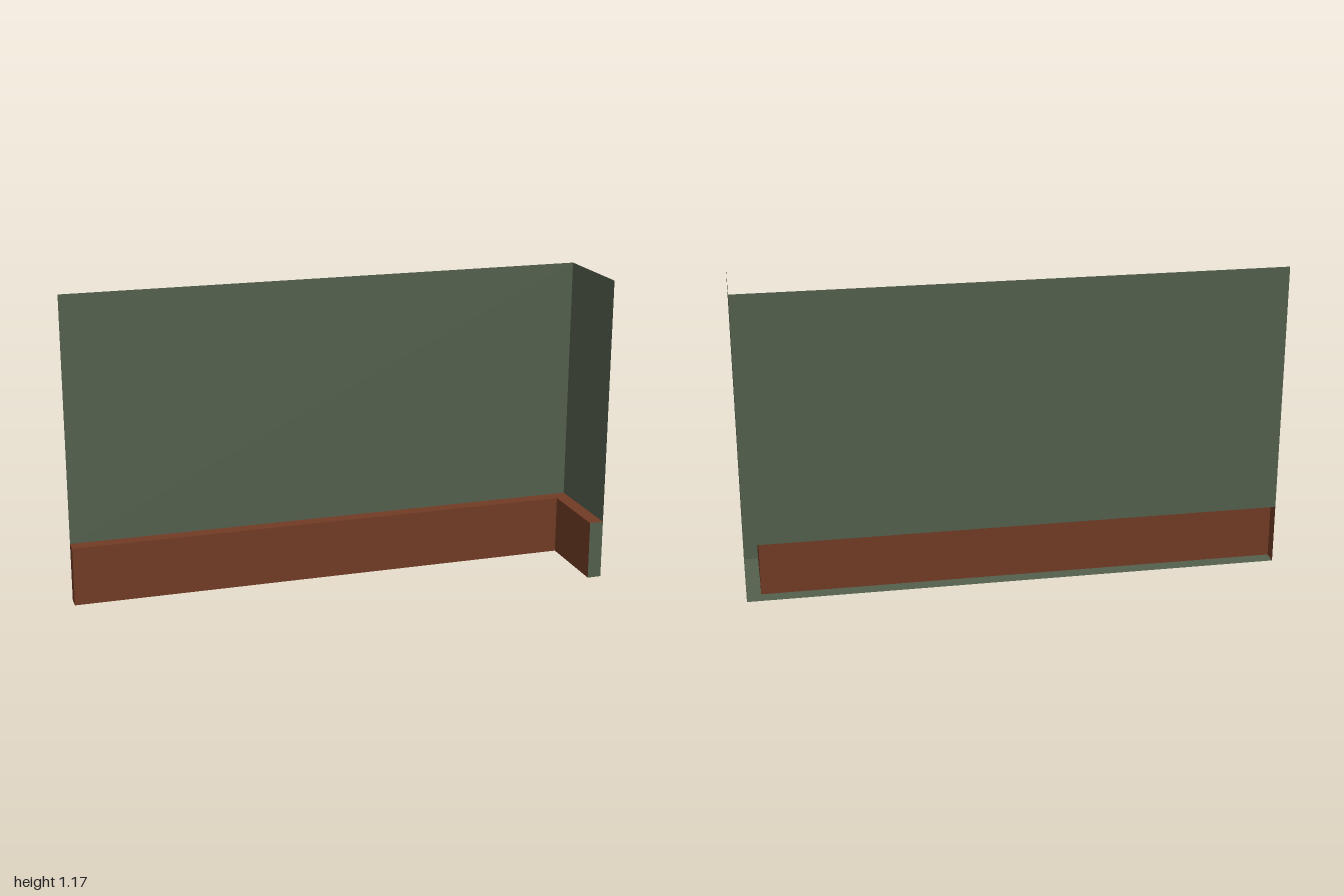
import * as THREE from 'three';

const LEFT = -1, RIGHT = 1, BACK = -0.182, FRONT = 0.182;
const SKIRT_TOP = 0.225, WALL_TOP = 1.17, DEPTH = 0.054;

export function createModel() {
  const model = new THREE.Group();
  model.name = 'cornerWallWithSkirting';

  const green = new THREE.MeshStandardMaterial({ color: 0x535f4d, side: THREE.DoubleSide });
  green.name = 'wallGreen';
  const brown = new THREE.MeshStandardMaterial({ color: 0x703b24, side: THREE.DoubleSide });
  brown.name = 'skirtingBrown';

  function add(name, geometry, material) {
    const mesh = new THREE.Mesh(geometry, material);
    mesh.name = name;
    model.add(mesh);
  }

  // Upright sheet facing +z, spanning x0..x1
  function sheetAlongX(name, x0, x1, y0, y1, z, material) {
    const g = new THREE.PlaneGeometry(x1 - x0, y1 - y0);
    g.translate((x0 + x1) / 2, (y0 + y1) / 2, z);
    add(name, g, material);
  }

  // Upright sheet facing -x, spanning z0..z1
  function sheetAlongZ(name, z0, z1, y0, y1, x, material) {
    const g = new THREE.PlaneGeometry(z1 - z0, y1 - y0);
    g.rotateY(-Math.PI / 2);
    g.translate(x, (y0 + y1) / 2, (z0 + z1) / 2);
    add(name, g, material);
  }

  // Flat L-shaped strip following both walls, facing up or down
  function cornerStrip(name, y, facesUp, material) {
    const innerX = RIGHT - DEPTH, innerZ = BACK + DEPTH;
    const s = facesUp ? -1 : 1;
    const outline = [
      [LEFT, BACK], [RIGHT, BACK], [RIGHT, FRONT],
      [innerX, FRONT], [innerX, innerZ], [LEFT, innerZ],
    ].map(([x, z]) => new THREE.Vector2(x, s * z));
    const g = new THREE.ShapeGeometry(new THREE.Shape(outline));
    g.rotateX(s * Math.PI / 2);
    g.translate(0, y, 0);
    add(name, g, material);
  }

  // Walls, single sheets that start above the skirting
  sheetAlongX('backWall', LEFT, RIGHT, SKIRT_TOP, WALL_TOP, BACK, green);
  sheetAlongZ('sideWall', BACK, FRONT, SKIRT_TOP, WALL_TOP, RIGHT, green);

  // Skirting faces, open behind
  sheetAlongX('backSkirting', LEFT, RIGHT - DEPTH, 0, SKIRT_TOP, BACK + DEPTH, brown);
  sheetAlongZ('sideSkirting', BACK + DEPTH, FRONT, 0, SKIRT_TOP, RIGHT - DEPTH, brown);

  // Skirting ledge and underside
  cornerStrip('skirtingLedge', SKIRT_TOP, true, brown);
  cornerStrip('skirtingUnderside', 0, false, green);

  // End caps
  sheetAlongZ('backSkirtingEnd', BACK, BACK + DEPTH, 0, SKIRT_TOP, LEFT, brown);
  sheetAlongX('sideSkirtingEnd', RIGHT - DEPTH, RIGHT, 0, SKIRT_TOP, FRONT, green);

  return model;
}
